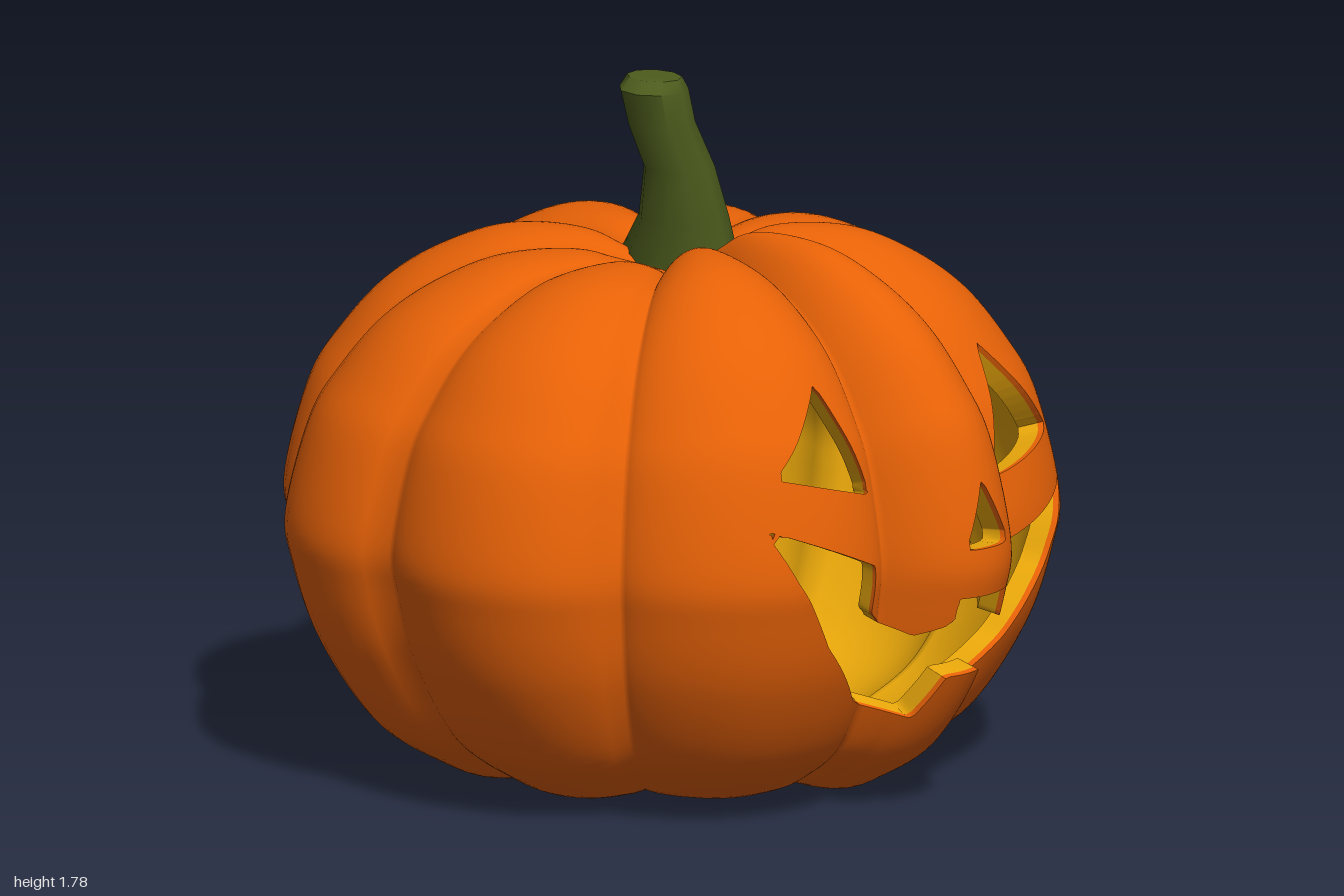
import * as THREE from 'three';
import { toCreasedNormals } from 'three/addons/utils/BufferGeometryUtils.js';

const CENTRE_Y = 0.65;
const GROOVE_CROWN = 0.92;

// Ribs: start angle in degrees from the front, groove radius there, peak radius, crown height factor, columns, roundness
const ribs = [
  [-15, 0.84, 1.0, 1.06, 40, 1.05], [15, 0.84, 0.945, 1.03, 40, 0.8], [60, 0.85, 0.975, 0.97, 14, 0.85],
  [102, 0.88, 1.0, 0.96, 12, 0.75], [142, 0.91, 1.02, 0.985, 14, 0.8], [180, 0.94, 1.02, 0.985, 14, 0.8],
  [217, 0.91, 1.01, 0.965, 12, 0.75], [255, 0.9, 0.98, 0.97, 14, 0.8], [298, 0.845, 0.945, 1.03, 40, 0.8],
];

// Half outline of the shell: radius, height
const outline = [
  [0, 0.1], [0.12, 0.06], [0.3, 0.025], [0.5, 0.015], [0.62, 0.06], [0.77, 0.165], [0.905, 0.375],
  [0.97, 0.57], [0.985, 0.7], [0.925, 0.94], [0.85, 1.07], [0.74, 1.2], [0.6, 1.295],
  [0.44, 1.355], [0.25, 1.36], [0.12, 1.31], [0, 1.25],
];

// Carved openings, seen from the front
const holes = [
  [[-0.32, 1.14], [-0.53, 0.94], [-0.25, 0.86]],
  [[0.32, 1.125], [0.535, 0.875], [0.24, 0.81]],
  [[-0.01, 0.88], [0.068, 0.71], [-0.088, 0.71]],
  [[-0.58, 0.82], [-0.27, 0.685], [-0.27, 0.56], [-0.165, 0.49], [-0.095, 0.52], [-0.095, 0.585],
    [0.09, 0.585], [0.105, 0.495], [0.235, 0.55], [0.235, 0.64], [0.57, 0.74], [0.48, 0.55],
    [0.325, 0.38], [0.2, 0.285], [0.125, 0.255], [0.065, 0.275], [0.05, 0.37], [-0.07, 0.37],
    [-0.1, 0.255], [-0.25, 0.32], [-0.41, 0.495], [-0.52, 0.68]],
];

// Signed distance to the openings: negative inside one
function holeDistance([x, y, z]) {
  if (z < 0.2) return 1;
  let best = 1, inside = false;
  for (const h of holes) {
    h.forEach(([ax, ay], i) => {
      const [bx, by] = h[(i + 1) % h.length];
      const dx = bx - ax, dy = by - ay;
      const t = THREE.MathUtils.clamp(((x - ax) * dx + (y - ay) * dy) / (dx * dx + dy * dy), 0, 1);
      best = Math.min(best, Math.hypot(x - ax - t * dx, y - ay - t * dy));
      if ((ay > y) !== (by > y) && x < ax + ((y - ay) / dy) * dx) inside = !inside;
    });
  }
  return inside ? -best : best;
}

// Ribbed shell grid with the openings cut out; returns points, triangles and cut edges
function carveShell() {
  const { lerp, degToRad } = THREE.MathUtils;
  const columns = [];
  ribs.forEach(([start, groove, peak, crown, n, round], i) => {
    const next = ribs[(i + 1) % ribs.length];
    const end = next[0] < start ? next[0] + 360 : next[0];
    for (let k = 0; k < n; k++) {
      const t = k / n, u = 2 * t - 1;
      const bump = Math.pow(1 - u * u, round);
      const r = lerp(lerp(groove, next[1], t), peak, bump);
      columns.push([degToRad(lerp(start, end, t)), r / 0.98, lerp(GROOVE_CROWN, crown, bump)]);
    }
  });
  const rows = new THREE.SplineCurve(outline.map(([r, y]) => new THREE.Vector2(r, y))).getSpacedPoints(110);
  const n = columns.length, last = rows.length - 1;

  const points = [[0, rows[0].y, 0], [0, rows[last].y, 0]];
  for (let j = 1; j < last; j++) {
    const { x: radius, y } = rows[j];
    const fade = Math.min(1, radius / 0.18);
    const low = Math.max(0, 1 - y / CENTRE_Y);
    for (const [a, f, crown] of columns) {
      // grooves grow shallower towards the underside
      const filled = f + Math.max(0, 0.95 - f) * 0.4 * low;
      const s = lerp(1, filled, fade);
      const rise = y > CENTRE_Y ? lerp(1, crown, fade) : lerp(1, s, 0.35);
      points.push([radius * s * Math.sin(a), CENTRE_Y + (y - CENTRE_Y) * rise, radius * s * Math.cos(a)]);
    }
  }
  const id = (i, j) => (j === 0 ? 0 : j === last ? 1 : 2 + (j - 1) * n + (i % n));
  const dist = points.map(holeDistance);

  const cuts = new Map();
  const cutPoint = (a, b) => {
    const key = a < b ? a + '_' + b : b + '_' + a;
    if (!cuts.has(key)) {
      const t = dist[a] / (dist[a] - dist[b]);
      cuts.set(key, points.length);
      points.push(points[a].map((v, k) => v + (points[b][k] - v) * t));
    }
    return cuts.get(key);
  };

  const index = [], edges = [];
  const addTriangle = (tri) => {
    if (new Set(tri).size < 3) return;
    const poly = [];
    let from, to;
    tri.forEach((a, k) => {
      const b = tri[(k + 1) % 3];
      if (dist[a] > 0) poly.push(a);
      if ((dist[a] > 0) !== (dist[b] > 0)) {
        const c = cutPoint(a, b);
        if (dist[a] > 0) from = c; else to = c;
        poly.push(c);
      }
    });
    for (let k = 2; k < poly.length; k++) index.push(poly[0], poly[k - 1], poly[k]);
    if (from !== undefined) edges.push([from, to]);
  };
  for (let j = 0; j < last; j++) {
    for (let i = 0; i < n; i++) {
      const a = id(i, j), b = id(i + 1, j), c = id(i + 1, j + 1), d = id(i, j + 1);
      addTriangle([a, b, c]);
      addTriangle([a, c, d]);
    }
  }
  return { points, index, edges };
}

// Points shrunk towards the middle of the shell
const shrink = (points, s) => points.map(([x, y, z]) => [x * s, CENTRE_Y + (y - CENTRE_Y) * s, z * s]);

function makeGeometry(points, index) {
  const g = new THREE.BufferGeometry();
  g.setAttribute('position', new THREE.Float32BufferAttribute(points.flat(), 3));
  g.setIndex(index);
  g.computeVertexNormals();
  return g;
}

// Band along the cut edges between two depths
function makeRim({ points, edges }, outer, inner) {
  const n = points.length;
  const index = edges.flatMap(([a, b]) => [b, a, a + n, b, a + n, b + n]);
  return makeGeometry([...shrink(points, outer), ...shrink(points, inner)], index);
}

// Leaning stem: centre x, y, z and half widths in x and z for each ring
function makeStem() {
  const rings = [
    [0.05, 1.2, -0.045, 0.125, 0.18], [0.045, 1.3, -0.035, 0.12, 0.16], [0.02, 1.4, -0.005, 0.11, 0.118],
    [-0.02, 1.54, 0.012, 0.088, 0.092], [-0.065, 1.66, -0.01, 0.085, 0.088],
    [-0.088, 1.75, -0.015, 0.085, 0.09], [-0.083, 1.78, -0.015, 0.06, 0.075],
  ];
  const g = new THREE.CylinderGeometry(1, 1, 1, 9, rings.length - 1);
  const p = g.attributes.position;
  for (let i = 0; i < p.count; i++) {
    const [cx, cy, cz, rx, rz] = rings[Math.round((p.getY(i) + 0.5) * (rings.length - 1))];
    p.setXYZ(i, cx + p.getX(i) * rx, cy, cz + p.getZ(i) * rz);
  }
  return toCreasedNormals(g, 0.85);
}

// Candle with a slanted, melted top
function makeCandle() {
  const g = new THREE.CylinderGeometry(0.095, 0.095, 0.28, 24);
  const p = g.attributes.position;
  for (let i = 0; i < p.count; i++) if (p.getY(i) > 0) p.setY(i, p.getY(i) + p.getX(i) * 0.25);
  g.computeVertexNormals();
  return g.translate(0.015, 0.29, 0);
}

export function createModel() {
  const mat = (name, color, side = THREE.FrontSide) => {
    const m = new THREE.MeshStandardMaterial({ color, side });
    m.name = name;
    return m;
  };
  const orange = mat('orange skin', 0xe86207);
  const yellow = mat('yellow flesh', 0xe6a50a, THREE.DoubleSide);
  const green = mat('green stem', 0x4d5c1d);
  const white = mat('candle wax', 0xe0d8c8);

  const group = new THREE.Group();
  group.name = 'carvedPumpkin';
  const add = (name, geometry, material) => {
    const mesh = new THREE.Mesh(geometry, material);
    mesh.name = name;
    group.add(mesh);
  };

  const shell = carveShell();
  add('skin', makeGeometry(shell.points, shell.index), orange);
  add('innerWall', makeGeometry(shrink(shell.points, 0.93), [...shell.index].reverse()), yellow);
  add('carvedEdge', makeRim(shell, 1, 0.984), orange);
  add('carvedRim', makeRim(shell, 0.984, 0.93), yellow);
  add('stem', makeStem(), green);
  add('candle', makeCandle(), white);
  return group;
}
